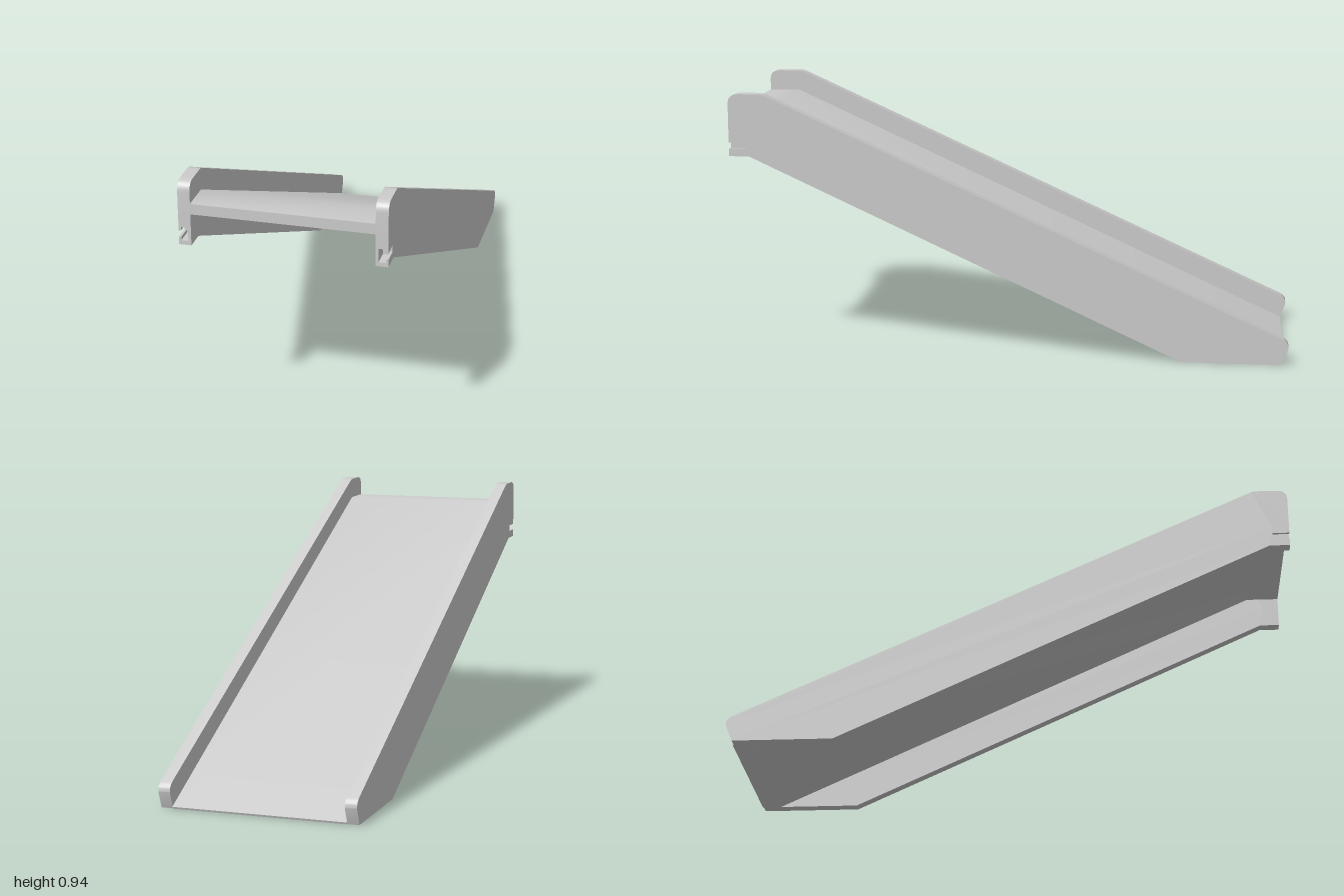
import * as THREE from 'three';
import { toCreasedNormals } from 'three/addons/utils/BufferGeometryUtils.js';

const INNER = 0.308, OUTER = 0.35;       // side panel faces
const FRONT = 1, SLOT_BACK = 0.94;       // slot depth range in z
const LUG_LOW = 0.711, LUG_HIGH = 0.79;  // slotted lug height range

const material = new THREE.MeshStandardMaterial({ color: 0xcccccc });

function addMesh(parent, name, geometry) {
  const mesh = new THREE.Mesh(toCreasedNormals(geometry, 0.5), material);
  mesh.name = name;
  parent.add(mesh);
}

// Extrudes a side profile, drawn in (-z, y), across x from x0 to x1
function extrudeAcross(shape, x0, x1) {
  const geometry = new THREE.ExtrudeGeometry(shape, {
    depth: x1 - x0, bevelEnabled: false, curveSegments: 8,
  });
  return geometry.rotateY(Math.PI / 2).translate(x0, 0, 0);
}

// Sloping side panel with rounded upper corners and a gap for the lug
function panelShape() {
  const s = new THREE.Shape();
  s.moveTo(-0.927, LUG_LOW);
  s.lineTo(0.622, 0);
  s.lineTo(0.975, 0);
  s.lineTo(0.997, 0.052);
  s.quadraticCurveTo(1.007, 0.078, 0.978, 0.093);
  s.lineTo(-0.865, 0.929);
  s.quadraticCurveTo(-0.878, 0.935, -0.892, 0.935);
  s.lineTo(-0.96, 0.935);
  s.quadraticCurveTo(-FRONT, 0.935, -FRONT, 0.9);
  s.lineTo(-FRONT, LUG_HIGH);
  s.lineTo(-SLOT_BACK, LUG_HIGH);
  s.lineTo(-SLOT_BACK, LUG_LOW);
  s.closePath();
  return s;
}

// Front lug with a T-shaped slot open to the outside
function lugGeometry(side) {
  const section = [
    [INNER, LUG_LOW], [OUTER, LUG_LOW], [OUTER, 0.738], [0.342, 0.738],
    [0.342, 0.726], [0.318, 0.726], [0.318, 0.773], [0.342, 0.773],
    [0.342, 0.761], [OUTER, 0.761], [OUTER, LUG_HIGH], [INNER, LUG_HIGH],
  ];
  const shape = new THREE.Shape(section.map(([x, y]) => new THREE.Vector2(side * x, y)));
  return new THREE.ExtrudeGeometry(shape, { depth: FRONT - SLOT_BACK, bevelEnabled: false })
    .translate(0, 0, SLOT_BACK);
}

export function createModel() {
  const ramp = new THREE.Group();
  ramp.name = 'ramp';

  // Deck: short level landing at the front, then a slope down to the ground
  const deck = new THREE.Shape([
    [-FRONT, 0.823], [-0.88, 0.823], [0.91, 0], [0.979, 0],
    [0.982, 0.007], [-0.885, 0.86], [-FRONT, 0.86],
  ].map(([u, y]) => new THREE.Vector2(u, y)));
  addMesh(ramp, 'deck', extrudeAcross(deck, -INNER, INNER));

  // Mirrored side panels with their slotted lugs
  for (const side of [1, -1]) {
    const label = side > 0 ? 'left' : 'right';
    const group = new THREE.Group();
    group.name = label + 'Side';
    const x0 = side > 0 ? INNER : -OUTER;
    addMesh(group, label + 'Panel', extrudeAcross(panelShape(), x0, x0 + OUTER - INNER));
    addMesh(group, label + 'SlottedLug', lugGeometry(side));
    ramp.add(group);
  }
  return ramp;
}
